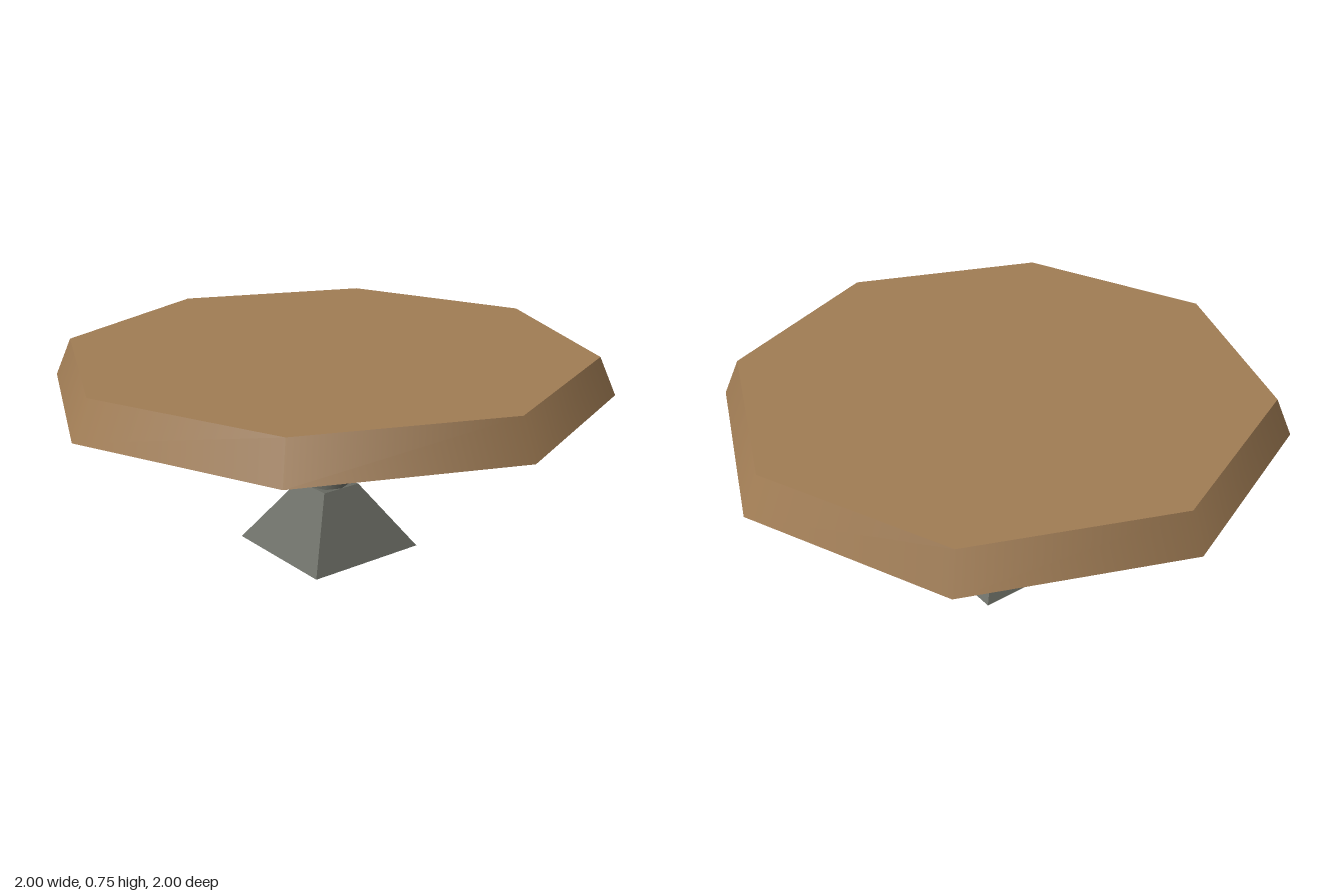
import * as THREE from 'three';

export function createModel() {
  const wood = new THREE.MeshStandardMaterial({ color: 0xa07c54 });
  wood.name = 'warm wood';
  const metal = new THREE.MeshStandardMaterial({ color: 0x666860 });
  metal.name = 'dark grey metal';

  const model = new THREE.Group();
  model.name = 'pedestalTable';

  // Tapered ring section standing between two heights
  function addTaper(name, topRadius, bottomRadius, y0, y1, sides, material) {
    const geometry = new THREE.CylinderGeometry(topRadius, bottomRadius, y1 - y0, sides);
    const mesh = new THREE.Mesh(geometry, material);
    mesh.name = name;
    mesh.position.y = (y0 + y1) / 2;
    model.add(mesh);
    return mesh;
  }

  // Octagonal top with a smooth-shaded bevelled rim
  addTaper('tableTop', 0.94, 1, 0.61, 0.745, 8, wood);

  // Slender tapered column
  addTaper('column', 0.045, 0.077, 0.235, 0.61, 8, metal);

  // Square pyramid foot: a box whose upper corners are drawn inward
  const footGeometry = new THREE.BoxGeometry(0.464, 0.235, 0.464);
  const p = footGeometry.attributes.position;
  for (let i = 0; i < p.count; i++) {
    if (p.getY(i) > 0) {
      p.setX(i, Math.sign(p.getX(i)) * 0.078);
      p.setZ(i, Math.sign(p.getZ(i)) * 0.078);
    }
  }
  footGeometry.computeVertexNormals();
  const foot = new THREE.Mesh(footGeometry, metal);
  foot.name = 'foot';
  foot.position.y = 0.1175;
  model.add(foot);

  return model;
}
